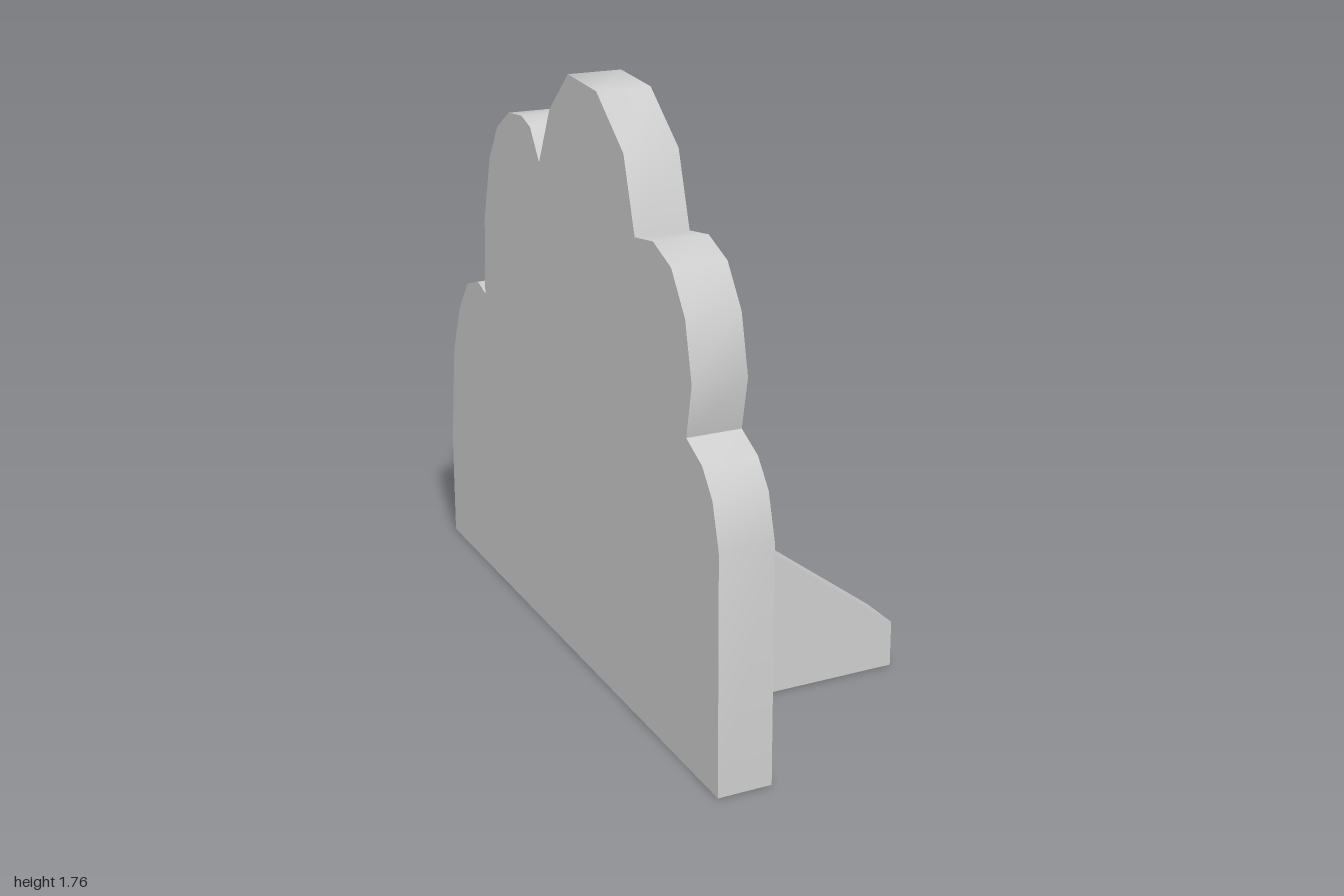
import * as THREE from 'three';
import { toCreasedNormals } from 'three/addons/utils/BufferGeometryUtils.js';

// Extrude a closed outline, centred on its thickness
function slab(points, depth) {
  const shape = new THREE.Shape(points.map(([x, y]) => new THREE.Vector2(x, y)));
  const geo = new THREE.ExtrudeGeometry(shape, { depth, bevelEnabled: false });
  return geo.translate(0, 0, -depth / 2);
}

export function createModel() {
  const model = new THREE.Group();
  model.name = 'bushCutout';
  const grey = new THREE.MeshStandardMaterial({ color: 0xcccccc });
  grey.name = 'plain grey';

  // Everything stands on a frame turned slightly about the vertical axis
  const stand = new THREE.Group();
  stand.name = 'stand';
  stand.position.x = -0.305;
  stand.rotation.y = 0.0855;
  model.add(stand);

  // Scalloped bush outline, from the bottom corner over the top and down
  const outline = [
    [0.995, 0], [0.993, 0.697], [0.956, 0.826], [0.897, 0.9], [0.806, 0.944],
    [0.838, 1.094], [0.8, 1.26], [0.72, 1.373], [0.612, 1.416], [0.5, 1.4],
    [0.434, 1.609], [0.262, 1.743], [0.07, 1.757], [-0.068, 1.635], [-0.155, 1.464],
    [-0.219, 1.555], [-0.284, 1.576], [-0.386, 1.566], [-0.483, 1.507], [-0.558, 1.394],
    [-0.617, 1.19], [-0.633, 0.944], [-0.698, 0.965], [-0.795, 0.933], [-0.875, 0.831],
    [-0.945, 0.67], [-0.994, 0.338], [-0.997, 0],
  ];
  const panelGeo = toCreasedNormals(slab(outline, 0.16).rotateY(-Math.PI / 2), 0.8);
  const panel = new THREE.Mesh(panelGeo, grey);
  panel.name = 'bushPanel';
  stand.add(panel);

  // Two sloping braces behind the panel
  const braceGeo = slab([[0.08, 0], [0.726, 0], [0.726, 0.14], [0.115, 0.595], [0.08, 0.595]], 0.133);
  for (const [name, z] of [['firstBrace', -0.485], ['secondBrace', 0.469]]) {
    const brace = new THREE.Mesh(braceGeo, grey);
    brace.name = name;
    brace.position.z = z;
    stand.add(brace);
  }
  return model;
}
